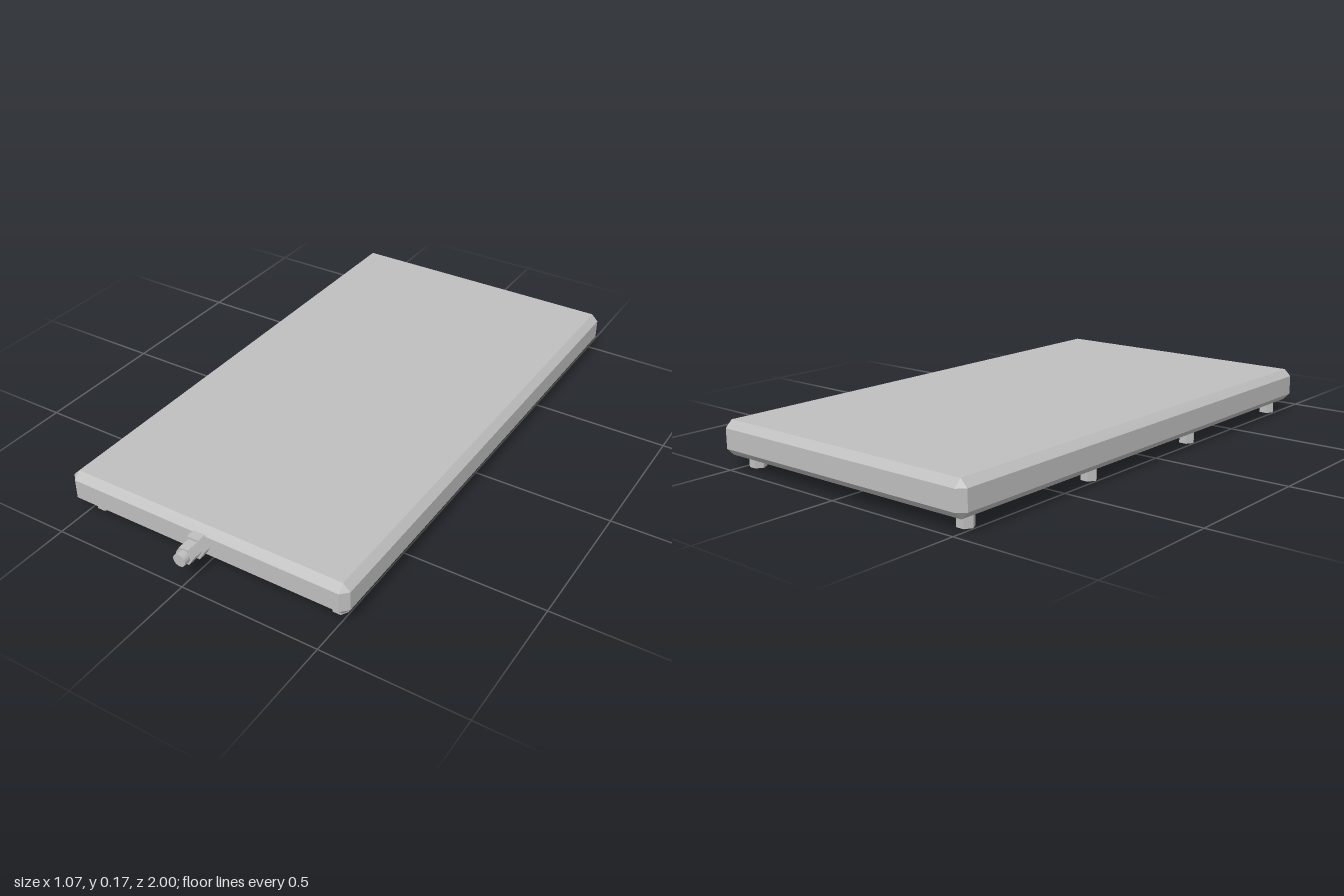
import * as THREE from 'three';
import { ConvexGeometry } from 'three/addons/geometries/ConvexGeometry.js';

export function createModel() {
  const group = new THREE.Group();
  const grey = new THREE.MeshStandardMaterial({ color: 0xbfbfbf, flatShading: true });
  grey.name = 'plain grey';

  function add(name, geometry, x, y, z) {
    const mesh = new THREE.Mesh(geometry, grey);
    mesh.name = name;
    mesh.position.set(x, y, z);
    group.add(mesh);
    return mesh;
  }

  // Box with every edge cut at 45 degrees
  function chamferedBox(w, h, d, bevel) {
    const [x, y, z] = [w / 2, h / 2, d / 2];
    const points = [];
    for (const sx of [-1, 1]) for (const sy of [-1, 1]) for (const sz of [-1, 1]) {
      points.push(
        new THREE.Vector3(sx * x, sy * (y - bevel), sz * (z - bevel)),
        new THREE.Vector3(sx * (x - bevel), sy * y, sz * (z - bevel)),
        new THREE.Vector3(sx * (x - bevel), sy * (y - bevel), sz * z));
    }
    return new ConvexGeometry(points);
  }

  // Main slab
  add('slabBody', chamferedBox(1.07, 0.12, 1.9, 0.025), 0, 0.106, -0.05);

  // Hexagonal feet, four down each side
  const foot = new THREE.CylinderGeometry(0.029, 0.029, 0.05, 6).rotateY(Math.PI / 6);
  for (const x of [-0.467, 0.467]) {
    for (let i = 0; i < 4; i++) add('foot', foot, x, 0.025, 0.82 - i * 0.577);
  }

  // Raised panels on the underside
  add('largeBottomPanel', new THREE.BoxGeometry(0.866, 0.014, 0.865), 0, 0.045, -0.393);
  add('smallBottomPanel', new THREE.BoxGeometry(0.142, 0.014, 0.068), 0.345, 0.045, 0.646);

  // Stepped connector at the front: nut, collar and round tip
  function connectorPart(name, radius, sides, z0, z1) {
    const geometry = new THREE.CylinderGeometry(radius, radius, z1 - z0, sides)
      .rotateY(Math.PI / 6).rotateX(Math.PI / 2);
    add(name, geometry, 0, 0.107, (z0 + z1) / 2);
  }
  connectorPart('connectorNut', 0.043, 6, 0.89, 0.93);
  connectorPart('connectorCollar', 0.033, 6, 0.93, 0.975);
  connectorPart('connectorTip', 0.023, 16, 0.975, 1.0);

  return group;
}
